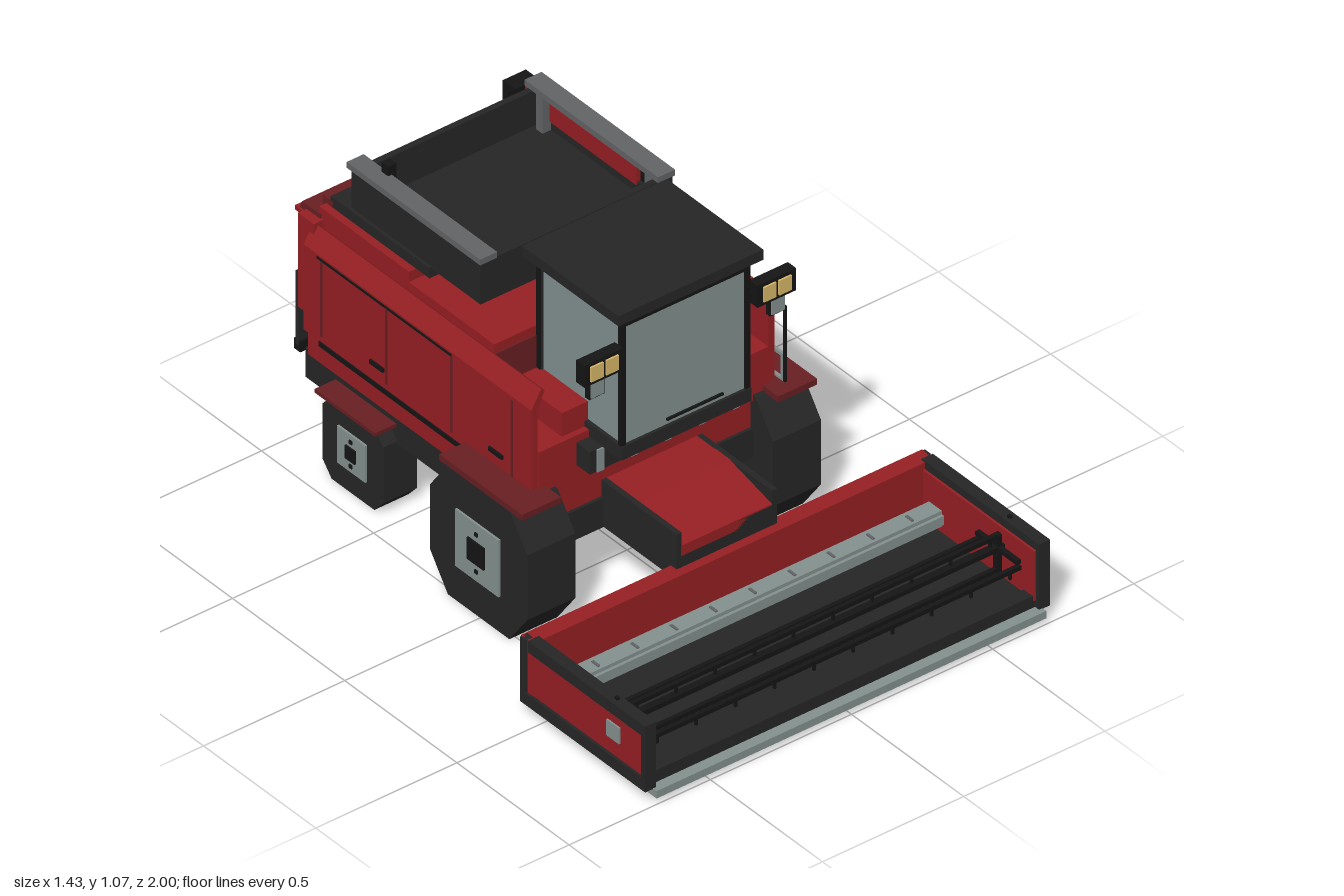
import * as THREE from 'three';

const mat = (name, color) => {
  const m = new THREE.MeshStandardMaterial({ color });
  m.name = name;
  return m;
};

export function createModel() {
  const red = mat('red paint', 0x961f23), darkRed = mat('dark red paint', 0x681f22);
  const dark = mat('dark grey', 0x262626), black = mat('black', 0x151515);
  const glass = mat('glass', 0x829190), metal = mat('light metal', 0x84918f);
  const rail = mat('grey rail', 0x626466), amber = mat('lamp yellow', 0xdab868);
  const model = new THREE.Group();
  model.name = 'combineHarvester';

  const add = (name, geo, m) => {
    const mesh = new THREE.Mesh(geo, m);
    mesh.name = name;
    model.add(mesh);
    return mesh;
  };
  // Box given by its limits on each axis
  const box = (name, m, x0, x1, y0, y1, z0, z1) => {
    const g = new THREE.BoxGeometry(x1 - x0, y1 - y0, z1 - z0);
    g.translate((x0 + x1) / 2, (y0 + y1) / 2, (z0 + z1) / 2);
    return add(name, g, m);
  };
  // The same box on both sides
  const pair = (name, m, x0, x1, y0, y1, z0, z1) => {
    box(name + 'Left', m, x0, x1, y0, y1, z0, z1);
    box(name + 'Right', m, -x1, -x0, y0, y1, z0, z1);
  };
  // Profile of [z, y] points extruded along x
  const profile = (name, m, pts, x0, x1) => {
    const s = new THREE.Shape(pts.map(([z, y]) => new THREE.Vector2(-z, y)));
    const g = new THREE.ExtrudeGeometry(s, { depth: x1 - x0, bevelEnabled: false });
    g.rotateY(Math.PI / 2).translate(x0, 0, 0);
    return add(name, g, m);
  };

  // Chassis and main body
  box('chassis', dark, -0.38, 0.38, 0.225, 0.325, -0.955, 0.12);
  box('lowerBody', red, -0.39, 0.39, 0.32, 0.45, -0.93, 0.11);
  box('frontBody', red, -0.405, 0.405, 0.42, 0.58, -0.92, 0.12);
  box('upperBody', darkRed, -0.375, 0.375, 0.58, 0.77, -0.9, -0.115);
  box('upperDeck', red, -0.375, 0.375, 0.77, 0.8, -0.9, -0.12);
  box('rearDeck', red, -0.375, 0.375, 0.8, 0.835, -0.9, -0.5);
  pair('cabShoulder', red, 0.2, 0.31, 0.58, 0.66, -0.12, 0.1);
  pair('lowerTrim', black, 0.385, 0.394, 0.378, 0.394, -0.88, -0.18);

  // Side panels with inward-leaning top edge, seams and handles
  for (const s of [-1, 1]) {
    const side = s > 0 ? 'Left' : 'Right';
    const sec = [[0.408, 0.44], [0.43, 0.44], [0.43, 0.73], [0.395, 0.79], [0.383, 0.78], [0.408, 0.725]];
    const shape = new THREE.Shape(sec.map(([x, y]) => new THREE.Vector2(s * x, y)));
    const g = new THREE.ExtrudeGeometry(shape, { depth: 1.015, bevelEnabled: false });
    g.translate(0, 0, -0.9);
    add('sidePanel' + side, g, red);
  }
  for (const z of [0.03, -0.24, -0.53, -0.82])
    pair('panelSeam', darkRed, 0.428, 0.433, 0.46, 0.72, z - 0.004, z + 0.004);
  pair('panelTopSeam', black, 0.428, 0.433, 0.717, 0.724, -0.84, -0.24);
  for (const z of [-0.04, -0.57])
    pair('panelHandle', black, 0.428, 0.437, 0.495, 0.508, z - 0.03, z + 0.03);

  // Rear hood and hanging rear flap
  profile('rearHood', darkRed, [[-0.89, 0.48], [-0.96, 0.48], [-0.985, 0.56], [-0.985, 0.775],
    [-0.97, 0.815], [-0.89, 0.815]], -0.38, 0.38);
  box('hoodLip', red, -0.385, 0.385, 0.775, 0.79, -0.995, -0.88);
  box('hoodTop', darkRed, -0.35, 0.35, 0.81, 0.855, -0.915, -0.87);
  pair('rearCorner', red, 0.375, 0.41, 0.48, 0.8, -0.95, -0.88);
  box('rearFlap', dark, -0.385, 0.385, 0.32, 0.57, -0.992, -0.98);
  box('rearFlapBar', black, -0.385, 0.385, 0.3, 0.335, -1, -0.972);
  for (const x of [-0.24, -0.08, 0.08, 0.24])
    box('flapHinge', darkRed, x - 0.015, x + 0.015, 0.555, 0.58, -0.997, -0.985);

  // Grain tank, open at the top
  box('tankBase', dark, -0.35, 0.35, 0.835, 0.87, -0.88, -0.44);
  box('tankFloor', dark, -0.34, 0.34, 0.862, 0.88, -0.8, -0.225);
  box('tankFrontWall', dark, -0.34, 0.34, 0.87, 1, -0.245, -0.225);
  box('tankRearWall', dark, -0.34, 0.34, 0.87, 1, -0.8, -0.78);
  box('tankRightWall', dark, -0.34, -0.315, 0.87, 1, -0.8, -0.225);
  box('tankLeftWallLow', dark, 0.315, 0.34, 0.87, 0.92, -0.8, -0.225);
  box('tankLeftWallTop', dark, 0.315, 0.34, 0.965, 1, -0.8, -0.225);
  pair('tankRail', rail, 0.285, 0.345, 1, 1.02, -0.815, -0.22);
  for (const z of [-0.265, -0.75]) pair('tankPost', rail, 0.285, 0.315, 0.88, 1, z - 0.015, z + 0.015);

  // Unloading auger and exhaust
  box('unloadAuger', red, 0.31, 0.35, 0.91, 0.97, -0.85, -0.35);
  box('augerElbow', black, 0.325, 0.357, 0.905, 0.975, -0.385, -0.305);
  box('augerSpout', black, 0.275, 0.357, 0.89, 0.975, -0.9, -0.845);
  box('exhaust', black, -0.298, -0.268, 0.95, 1.052, -0.72, -0.69);

  // Cab
  box('cabFloor', dark, -0.23, 0.23, 0.555, 0.6, -0.115, 0.265);
  box('cabGlass', glass, -0.218, 0.218, 0.6, 1.003, -0.1, 0.255);
  box('cabBack', dark, -0.225, 0.225, 0.58, 1.03, -0.115, -0.098);
  pair('cabFrontPillar', black, 0.212, 0.229, 0.58, 1.037, 0.248, 0.262);
  pair('cabRearPillar', black, 0.212, 0.229, 0.58, 1.037, -0.117, -0.1);
  box('cabTopFrame', black, -0.227, 0.227, 1.003, 1.015, -0.115, 0.262);
  box('cabRoof', dark, -0.256, 0.256, 1.035, 1.07, -0.145, 0.285);
  box('wiper', black, -0.065, 0.135, 0.615, 0.622, 0.255, 0.262);
  // Front grille bar
  box('grilleBar', dark, -0.275, 0.275, 0.48, 0.556, 0.1, 0.18);
  for (let i = -2; i <= 2; i++)
    box('grilleStrip', metal, i * 0.12 - 0.012, i * 0.12 + 0.012, 0.48, 0.555, 0.178, 0.186);
  // Work lamps and mirrors
  pair('lampArm', black, 0.22, 0.26, 0.9, 0.92, 0.245, 0.26);
  pair('lampHousing', black, 0.238, 0.375, 0.877, 0.952, 0.245, 0.282);
  pair('lampInner', amber, 0.235 + 0.0, 0.235 + 0.0 + 0.0001, 0.91, 0.911, 0.25, 0.251);
  for (const x of [0.279, 0.333]) pair('lamp', amber, x - 0.022, x + 0.022, 0.89, 0.94, 0.28, 0.288);
  pair('mirrorBack', black, 0.293, 0.347, 0.815, 0.878, 0.25, 0.268);
  pair('mirror', metal, 0.297, 0.343, 0.82, 0.87, 0.266, 0.272);

  // Wheels: chamfered square tyres with plate rims
  const wheel = (label, x0, x1, zc, yc, hz, hy, cz, cy, rim, hub) => {
    const pts = [[-hz, -hy + cy], [-hz + cz, -hy], [hz - cz, -hy], [hz, -hy + cy],
      [hz, hy - cy], [hz - cz, hy], [-hz + cz, hy], [-hz, hy - cy]].map(([z, y]) => [zc + z, yc + y]);
    for (const s of [-1, 1]) {
      const side = s > 0 ? 'Left' : 'Right';
      profile(label + 'Tyre' + side, dark, pts, s > 0 ? x0 : -x1, s > 0 ? x1 : -x0);
    }
    pair(label + 'Rim', metal, x1 - 0.01, x1 + 0.007, yc - rim, yc + rim, zc - rim, zc + rim);
    pair(label + 'Hub', black, x1, x1 + 0.013, yc - hub, yc + hub, zc - hub, zc + hub);
    for (const [a, b] of [[0, 1], [0, -1]]) {
      const y = yc + b * rim * 0.65, z = zc + a * rim * 0.65;
      pair(label + 'Bolt', black, x1, x1 + 0.011, y - 0.006, y + 0.006, z - 0.006, z + 0.006);
    }
    pair(label + 'Axle', black, 0.2, x0 + 0.01, yc - 0.04, yc + 0.04, zc - 0.04, zc + 0.04);
  };
  wheel('front', 0.35, 0.52, -0.007, 0.22, 0.217, 0.22, 0.08, 0.11, 0.097, 0.037);
  wheel('rear', 0.31, 0.43, -0.68, 0.14, 0.135, 0.14, 0.04, 0.045, 0.063, 0.022);
  pair('frontFender', darkRed, 0.385, 0.522, 0.438, 0.458, -0.18, 0.19);
  pair('rearFender', darkRed, 0.3, 0.455, 0.28, 0.292, -0.82, -0.55);

  // Access rail on the left side
  box('handPole', black, 0.441, 0.449, 0.385, 0.715, 0.14, 0.148);
  for (const y of [0.46, 0.545]) box('railBar', metal, 0.44, 0.45, y - 0.005, y + 0.005, -0.035, 0.14);
  for (const z of [-0.03, 0.135]) box('railPost', metal, 0.44, 0.45, 0.458, 0.55, z - 0.005, z + 0.005);

  // Feeder house with sloping red top
  box('feederHouse', dark, -0.16, 0.16, 0.225, 0.33, 0.1, 0.445);
  pair('feederSide', dark, 0.16, 0.178, 0.225, 0.38, 0.1, 0.445);
  profile('feederTop', red, [[0.1, 0.3], [0.445, 0.3], [0.445, 0.335], [0.26, 0.38], [0.1, 0.38]], -0.162, 0.162);

  // Header trough
  box('headerFloor', dark, -0.7, 0.7, 0.045, 0.075, 0.43, 0.96);
  box('headerBack', red, -0.71, 0.71, 0.07, 0.262, 0.42, 0.475);
  box('headerBackSill', dark, -0.71, 0.71, 0.043, 0.075, 0.42, 0.48);
  box('headerLip', dark, -0.69, 0.69, 0.045, 0.085, 0.925, 0.965);
  pair('headerEnd', red, 0.67, 0.708, 0.07, 0.24, 0.45, 0.97);
  pair('endTopBar', dark, 0.678, 0.717, 0.228, 0.267, 0.46, 0.982);
  pair('endBottomBar', dark, 0.678, 0.717, 0.043, 0.083, 0.43, 0.982);
  pair('endFrontPost', dark, 0.678, 0.717, 0.043, 0.267, 0.965, 0.983);
  pair('endRearPost', dark, 0.69, 0.717, 0.043, 0.262, 0.425, 0.45);
  pair('endPlate', metal, 0.706, 0.714, 0.138, 0.192, 0.805, 0.862);
  box('cutterBar', metal, -0.69, 0.69, 0.02, 0.045, 0.96, 1);

  // Header auger with raised flights
  box('headerAuger', metal, -0.65, 0.65, 0.118, 0.172, 0.528, 0.585);
  box('augerRidge', metal, -0.65, 0.65, 0.13, 0.16, 0.518, 0.595);
  for (let i = -4; i <= 4; i++)
    box('augerFlight', rail, i * 0.139 - 0.004, i * 0.139 + 0.004, 0.115, 0.176, 0.545, 0.575);

  // Reel: centre tube, tined bars and end arms
  box('reelTube', black, -0.67, 0.67, 0.177, 0.193, 0.818, 0.842);
  for (const [z, y] of [[0.745, 0.165], [0.83, 0.225], [0.92, 0.165], [0.83, 0.11]]) {
    box('reelBar', black, -0.66, 0.66, y - 0.007, y + 0.007, z - 0.007, z + 0.007);
    for (let i = -4.5; i <= 4.5; i++)
      box('reelTine', black, i * 0.139 - 0.004, i * 0.139 + 0.004, y - 0.028, y, z - 0.004, z + 0.004);
  }
  pair('reelArmFlat', black, 0.645, 0.66, 0.178, 0.192, 0.74, 0.925);
  pair('reelArmUpright', black, 0.645, 0.66, 0.105, 0.23, 0.82, 0.84);
  pair('reelPin', black, 0.69, 0.7, 0.25, 0.275, 0.825, 0.837);

  return model;
}
